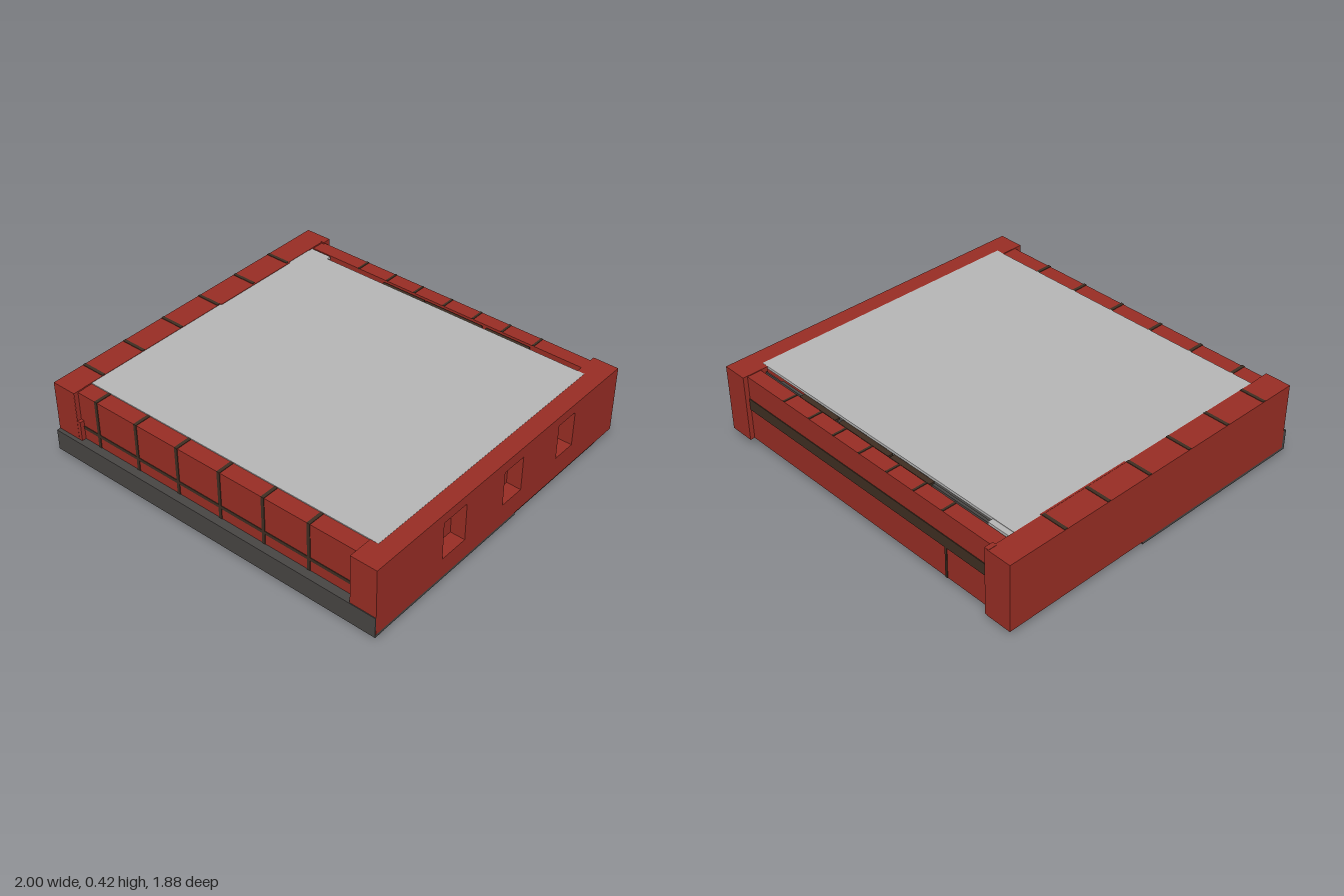
import * as THREE from 'three';

export function createModel() {
  const model = new THREE.Group();
  const mat = (name, color) => {
    const m = new THREE.MeshStandardMaterial({ color });
    m.name = name;
    return m;
  };
  const red = mat('brick red', 0x982d24);
  const mortar = mat('mortar brown', 0x3f2e22);
  const dark = mat('plinth grey', 0x484543);
  const grey = mat('roof grey', 0xb6b6b6);

  // Box given by its extents on each axis
  const box = (name, m, [x0, x1], [y0, y1], [z0, z1]) => {
    const mesh = new THREE.Mesh(new THREE.BoxGeometry(x1 - x0, y1 - y0, z1 - z0), m);
    mesh.position.set((x0 + x1) / 2, (y0 + y1) / 2, (z0 + z1) / 2);
    mesh.name = name;
    model.add(mesh);
    return mesh;
  };

  // Roof panel, with a thin ceiling layer along the back
  box('roofPanel', grey, [-0.86, 0.9], [0.398, 0.413], [-0.78, 0.8]);
  box('roofBackCorner', grey, [-0.86, -0.73], [0.395, 0.41], [-0.81, -0.78]);

  // Plain wall on the -x side, with corner posts and top joints
  box('rightWall', red, [-1, -0.86], [0.042, 0.415], [-0.94, 0.915]);
  box('rightWallInnerLedge', red, [-0.862, -0.852], [0.3, 0.416], [-0.62, -0.09]);
  box('frontPostFoot', red, [-0.87, -0.84], [0.14, 0.25], [0.85, 0.914]);
  box('frontPostTop', red, [-0.87, -0.858], [0.25, 0.415], [0.85, 0.914]);
  box('backPostTrim', red, [-0.87, -0.845], [0.042, 0.417], [-0.938, -0.89]);
  for (let i = 0; i < 6; i++) {
    const z = -0.61 + i * 0.266;
    box('rightWallJoint', mortar, [-0.999, -0.861], [0.41, 0.418], [z - 0.009, z + 0.009]);
  }

  // Wall on the +x side, with three window recesses
  const face = new THREE.Shape();
  const rect = (path, z0, z1, y0, y1) => {
    path.moveTo(-z0, y0);
    path.lineTo(-z1, y0);
    path.lineTo(-z1, y1);
    path.lineTo(-z0, y1);
    path.closePath();
    return path;
  };
  rect(face, 0.932, -0.925, 0.042, 0.412);
  for (const [z0, z1, y0, y1] of [
    [0.47, 0.305, 0.15, 0.36],
    [0.015, -0.13, 0.16, 0.353],
    [-0.42, -0.555, 0.165, 0.36],
  ]) face.holes.push(rect(new THREE.Path(), z0, z1, y0, y1));
  const outer = new THREE.Mesh(
    new THREE.ExtrudeGeometry(face, { depth: 0.08, bevelEnabled: false }), red);
  outer.rotation.y = Math.PI / 2;
  outer.position.x = 0.92;
  outer.name = 'leftWallWithWindows';
  model.add(outer);
  box('windowBacks', red, [0.9, 0.92], [0.042, 0.412], [-0.925, 0.932]);
  box('leftFrontPost', red, [0.855, 0.9], [0.042, 0.412], [0.8, 0.932]);
  box('leftBackPost', red, [0.86, 0.9], [0.042, 0.412], [-0.925, -0.78]);

  // Front wall with a brick grid of joints
  box('frontWall', red, [-0.86, 0.86], [0.042, 0.408], [0.8, 0.89]);
  box('frontCourseJoint', mortar, [-0.84, 0.855], [0.2, 0.218], [0.885, 0.893]);
  for (let i = 0; i < 6; i++) {
    const x = [-0.735 + i * 0.265 - 0.009, -0.735 + i * 0.265 + 0.009];
    box('frontJoint', mortar, x, [0.14, 0.41], [0.885, 0.893]);
    box('frontTopJoint', mortar, x, [0.403, 0.411], [0.8, 0.893]);
  }

  // Back wall with a dark band and top joints
  box('backWall', red, [-0.86, 0.86], [0.042, 0.408], [-0.9, -0.82]);
  box('backBand', mortar, [-0.845, 0.86], [0.215, 0.28], [-0.904, -0.897]);
  box('backLowerJoint', mortar, [-0.566, -0.554], [0.042, 0.215], [-0.904, -0.897]);
  for (const x of [-0.54, -0.35, -0.17, 0.02, 0.205, 0.385, 0.575]) {
    box('backTopJoint', mortar, [x - 0.006, x + 0.006], [0.403, 0.411], [-0.9, -0.82]);
  }

  // Thin inner wall behind the gap, with brown panels
  box('innerBackWall', dark, [-0.73, 0.735], [0.034, 0.39], [-0.797, -0.782]);
  box('innerBackWallSide', dark, [0.735, 0.855], [0.034, 0.39], [-0.797, -0.79]);
  for (const [x0, x1] of [[-0.36, -0.09], [-0.08, 0.275], [0.3, 0.565]]) {
    box('innerPanel', mortar, [x0, x1], [0.1, 0.4], [-0.812, -0.782]);
  }

  // Plinth and floor slabs
  box('frontPlinth', dark, [-0.998, 0.999], [0.025, 0.14], [0.88, 0.936]);
  box('frontFloor', dark, [-0.998, 0.998], [0.025, 0.044], [-0.1, 0.93]);
  box('mainFloor', dark, [-0.855, 0.99], [0.022, 0.033], [-0.8, 0.93]);
  box('floorStrip', dark, [-0.85, 0.85], [0.015, 0.023], [-0.65, -0.59]);

  // Small studs scattered below the floor
  for (let i = 0; i < 14; i++) {
    const x = -0.1 + ((i * 5) % 14) * 0.03;
    const z = i < 6 ? -0.03 - i * 0.025 : -0.26 - (i - 6) * 0.018;
    const y = i < 6 ? 0.012 : (i % 3) * 0.004;
    box('floorStud', dark, [x - 0.006, x + 0.006], [y, 0.042], [z - 0.006, z + 0.006]);
  }
  return model;
}
